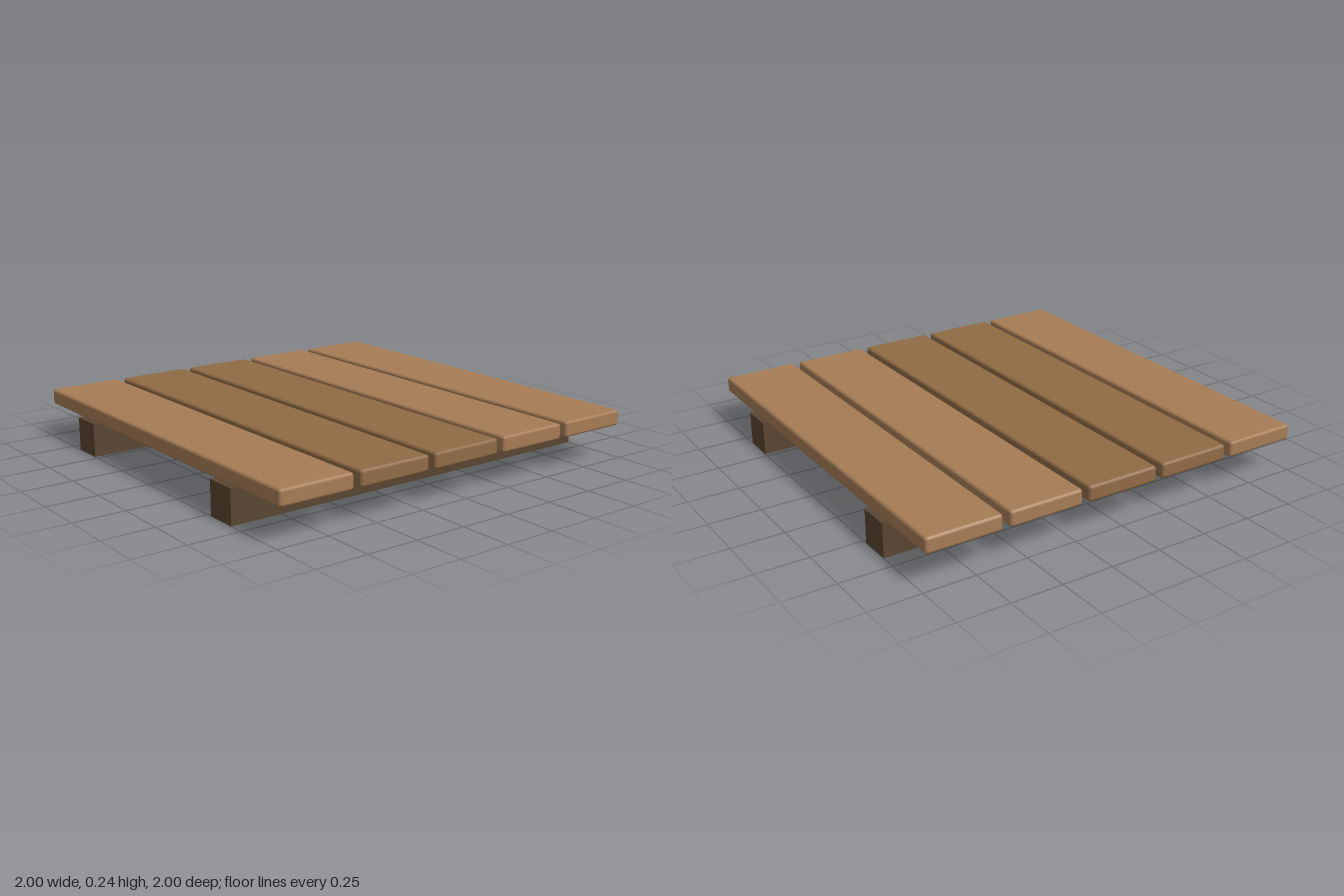
import * as THREE from 'three';
import { RoundedBoxGeometry } from 'three/addons/geometries/RoundedBoxGeometry.js';

const BEAM_HEIGHT = 0.163;
const PLANK_HEIGHT = 0.077;
const PLANK_PITCH = 0.4;

export function createModel() {
  const model = new THREE.Group();
  model.name = 'plankPlatform';

  const lightWood = new THREE.MeshStandardMaterial({ color: 0xa67c55 });
  const midWood = new THREE.MeshStandardMaterial({ color: 0x906b45 });
  const darkWood = new THREE.MeshStandardMaterial({ color: 0x5a4632 });

  const add = (name, geometry, material, x, y, z) => {
    const mesh = new THREE.Mesh(geometry, material);
    mesh.name = name;
    mesh.position.set(x, y, z);
    model.add(mesh);
  };

  // Two square-edged beams running front to back
  const beam = new THREE.BoxGeometry(0.155, BEAM_HEIGHT, 2);
  add('leftBeam', beam, darkWood, 0.6, BEAM_HEIGHT / 2, 0);
  add('rightBeam', beam, darkWood, -0.6, BEAM_HEIGHT / 2, 0);

  // Five planks with eased edges laid across them, from back to front
  const plank = new RoundedBoxGeometry(2, PLANK_HEIGHT, 0.366, 1, 0.014);
  const finishes = [lightWood, lightWood, midWood, midWood, lightWood];
  finishes.forEach((wood, i) => {
    add(`plank${i + 1}`, plank, wood, 0, BEAM_HEIGHT + PLANK_HEIGHT / 2, (i - 2) * PLANK_PITCH);
  });

  return model;
}
